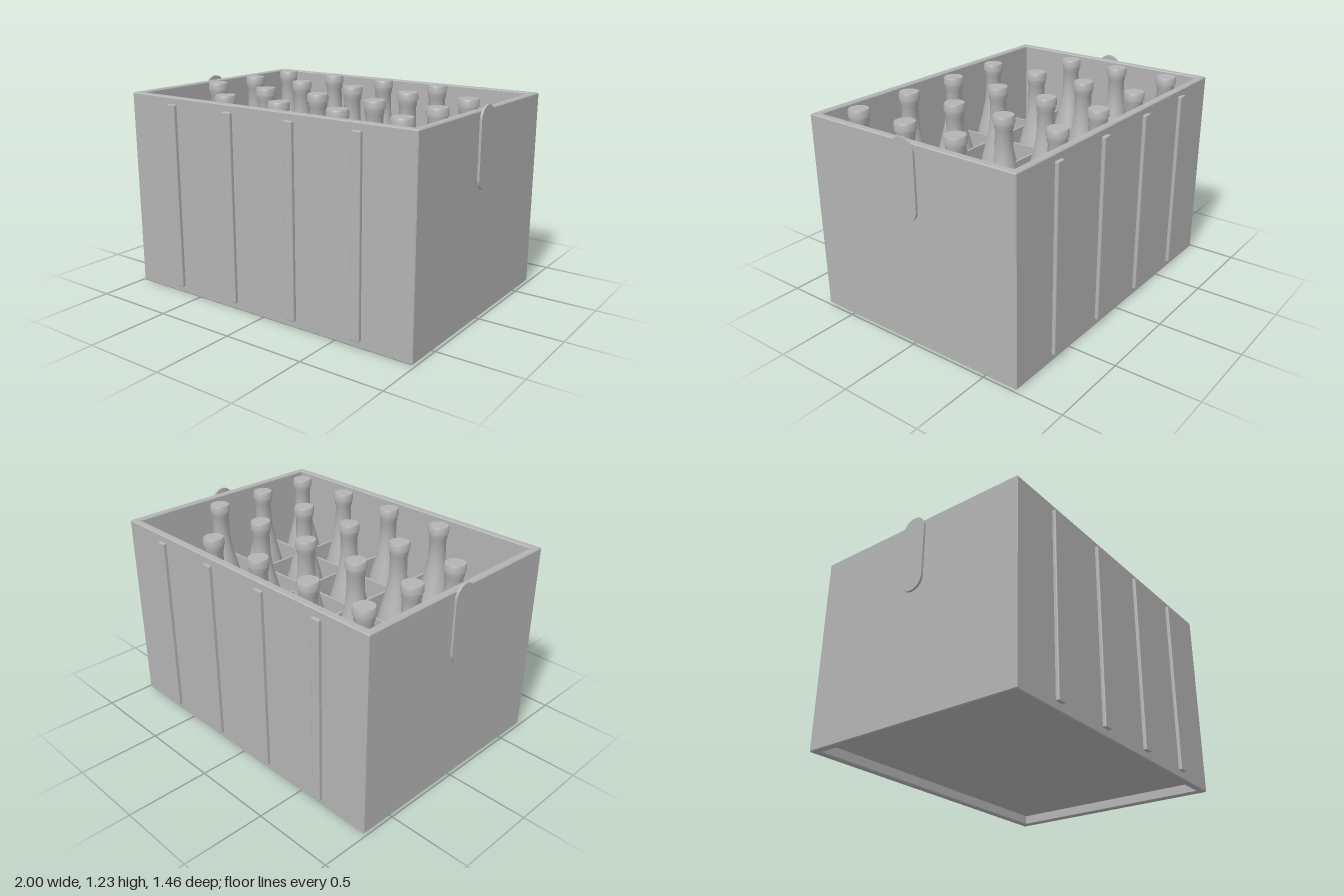
import * as THREE from 'three';
import { toCreasedNormals } from 'three/addons/utils/BufferGeometryUtils.js';
import { RoundedBoxGeometry } from 'three/addons/geometries/RoundedBoxGeometry.js';

const HX = 0.985, HZ = 0.707, HEIGHT = 1.2; // crate half sizes and height
const INX = 0.94, INZ = 0.662;              // inner half sizes
const PITCH_X = 0.395, PITCH_Z = 0.353;     // bottle spacing

// Rectangle outline with clipped corners
function rectPath(path, hx, hz, c) {
  path.moveTo(-hx + c, -hz);
  path.lineTo(hx - c, -hz);
  path.lineTo(hx, -hz + c);
  path.lineTo(hx, hz - c);
  path.lineTo(hx - c, hz);
  path.lineTo(-hx + c, hz);
  path.lineTo(-hx, hz - c);
  path.lineTo(-hx, -hz + c);
  path.closePath();
  return path;
}

// Upright pill plate, centred on the origin
function handleGeometry(r, height, depth) {
  const h = height / 2 - r;
  const s = new THREE.Shape();
  s.absarc(0, h, r, 0, Math.PI, false);
  s.absarc(0, -h, r, Math.PI, Math.PI * 2, false);
  s.closePath();
  const g = new THREE.ExtrudeGeometry(s, { depth, bevelEnabled: false, curveSegments: 16 });
  g.translate(0, 0, -depth / 2);
  g.rotateY(Math.PI / 2);
  return toCreasedNormals(g, 0.6);
}

function lathe(points, segments) {
  const g = new THREE.LatheGeometry(points.map(([r, y]) => new THREE.Vector2(r, y)), segments);
  return toCreasedNormals(g, 0.6);
}

export function createModel() {
  const model = new THREE.Group();
  model.name = 'bottleCrate';
  const grey = new THREE.MeshStandardMaterial({ color: 0xb3b3b3 });
  grey.name = 'grey';

  const add = (name, geometry, x, y, z, parent = model) => {
    const mesh = new THREE.Mesh(geometry, grey);
    mesh.name = name;
    mesh.position.set(x, y, z);
    parent.add(mesh);
    return mesh;
  };

  // Four walls as one ring with softened edges
  const b = 0.006;
  const outline = rectPath(new THREE.Shape(), HX, HZ, 0.005);
  outline.holes.push(rectPath(new THREE.Path(), INX, INZ, 0.003));
  const walls = new THREE.ExtrudeGeometry(outline, {
    depth: HEIGHT - 2 * b, bevelThickness: b, bevelSize: b, bevelOffset: -b, bevelSegments: 1,
  });
  walls.rotateX(-Math.PI / 2);
  add('walls', walls, 0, b, 0);

  // Floor, raised above the bottom lip
  add('floor', new THREE.BoxGeometry(INX * 2 + 0.02, 0.04, INZ * 2 + 0.02), 0, 0.08, 0);

  // Inner dividers
  const divBase = 0.09, divTop = 0.79, divH = divTop - divBase;
  const divY = (divBase + divTop) / 2;
  const crossGeo = new THREE.BoxGeometry(0.015, divH, INZ * 2 + 0.01);
  const longGeo = new THREE.BoxGeometry(INX * 2 + 0.01, divH, 0.015);
  for (let i = 0; i < 4; i++) add('crossDivider', crossGeo, (i - 1.5) * PITCH_X, divY, 0);
  for (let i = -1; i <= 1; i++) add('longDivider', longGeo, 0, divY, i * PITCH_Z);

  // Outside ribs, front and back
  const ribGeo = new RoundedBoxGeometry(0.058, 1.115, 0.044, 2, 0.006);
  for (const side of [1, -1]) {
    for (let i = 0; i < 4; i++) add('rib', ribGeo, (i - 1.5) * 0.43, 0.6025, side * 0.706);
  }

  // End handles
  const handleGeo = handleGeometry(0.076, 0.468, 0.014);
  add('leftHandle', handleGeo, 0.993, 0.991, 0);
  add('rightHandle', handleGeo, -0.993, 0.991, 0);

  // Bottles, with two opposite corner cells left empty
  const bottleGeo = lathe([
    [0, 0.1], [0.125, 0.1], [0.136, 0.115], [0.136, 0.56], [0.132, 0.63], [0.12, 0.7],
    [0.1, 0.78], [0.077, 0.87], [0.06, 0.95], [0.052, 1.01], [0.05, 1.13],
    [0.055, 1.14], [0.055, 1.19],
  ], 32);
  const capGeo = lathe([
    [0.05, 1.17], [0.062, 1.17], [0.062, 1.203], [0.057, 1.215], [0, 1.215],
  ], 32);
  for (let row = 0; row < 4; row++) {
    for (let col = 0; col < 5; col++) {
      if ((row === 0 && col === 4) || (row === 3 && col === 0)) continue;
      const bottle = new THREE.Group();
      bottle.name = 'bottle';
      bottle.position.set((col - 2) * PITCH_X, 0, (row - 1.5) * PITCH_Z);
      add('glass', bottleGeo, 0, 0, 0, bottle);
      add('cap', capGeo, 0, 0, 0, bottle);
      model.add(bottle);
    }
  }
  return model;
}
